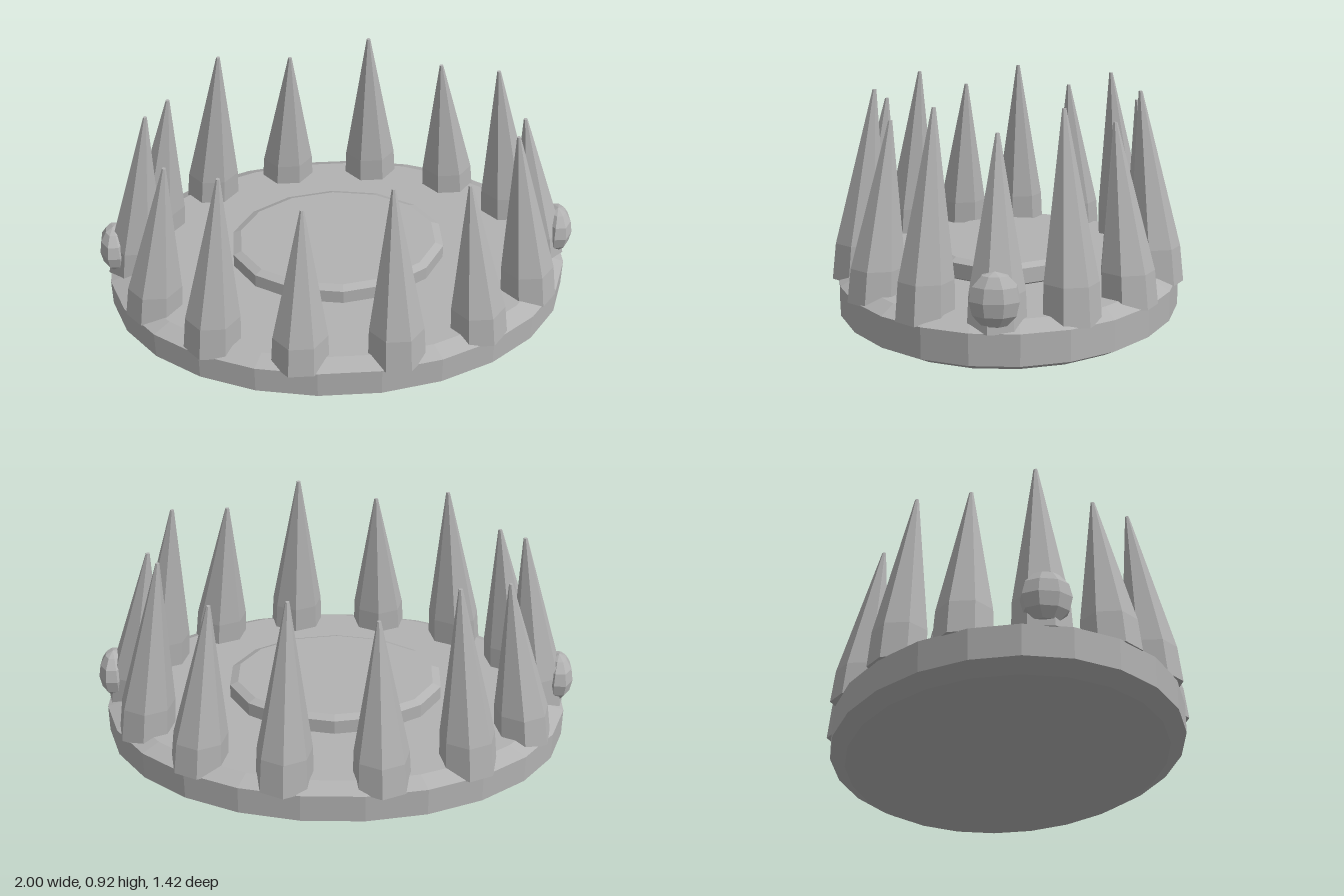
import * as THREE from 'three';

const stone = new THREE.MeshStandardMaterial({ color: 0xb2b2b2, flatShading: true });
stone.name = 'plain grey';

// Closed stack of polygon rings; each ring is { x, y, z, rx, rz }, listed bottom to top.
function ringStack(rings, sides, offset) {
  const pos = [];
  const idx = [];
  for (const r of rings) {
    for (let i = 0; i < sides; i++) {
      const a = offset + (i / sides) * Math.PI * 2;
      pos.push((r.x || 0) + r.rx * Math.cos(a), r.y, (r.z || 0) + r.rz * Math.sin(a));
    }
  }
  for (let k = 0; k < rings.length - 1; k++) {
    for (let i = 0; i < sides; i++) {
      const j = (i + 1) % sides;
      const a = k * sides + i, b = k * sides + j;
      idx.push(a, a + sides, b, b, a + sides, b + sides);
    }
  }
  // End caps
  const top = (rings.length - 1) * sides;
  for (let i = 1; i < sides - 1; i++) {
    idx.push(0, i, i + 1, top, top + i + 1, top + i);
  }
  const geo = new THREE.BufferGeometry();
  geo.setAttribute('position', new THREE.Float32BufferAttribute(pos, 3));
  geo.setIndex(idx);
  const flat = geo.toNonIndexed();
  flat.computeVertexNormals();
  return flat;
}

export function createModel() {
  const model = new THREE.Group();
  model.name = 'spikedCrown';
  const add = (name, geo) => {
    const mesh = new THREE.Mesh(geo, stone);
    mesh.name = name;
    model.add(mesh);
    return mesh;
  };

  // Oval base with bevelled rims
  add('base', ringStack([
    { y: 0, rx: 0.893, rz: 0.645 },
    { y: 0.035, rx: 0.973, rz: 0.706 },
    { y: 0.155, rx: 0.973, rz: 0.706 },
    { y: 0.187, rx: 0.893, rz: 0.645 },
  ], 24, Math.PI / 24));

  // Raised oval disc in the middle
  add('centreDisc', ringStack([
    { y: 0.18, rx: 0.42, rz: 0.31 },
    { y: 0.197, rx: 0.455, rz: 0.34 },
    { y: 0.257, rx: 0.455, rz: 0.34 },
    { y: 0.272, rx: 0.42, rz: 0.31 },
  ], 14, Math.PI / 14 * 0.5 * 2));

  // Ring of inward-leaning spikes, alternately short and tall
  const count = 14;
  for (let i = 0; i < count; i++) {
    const a = (i / count) * Math.PI * 2;
    const c = Math.cos(a), s = Math.sin(a);
    const tip = i % 2 ? 0.92 : 0.84;
    const foot = 0.152;
    const knee = foot + (tip - foot) * 0.19;
    add('spike', ringStack([
      { x: 0.86 * c, y: foot, z: 0.62 * s, rx: 0.118, rz: 0.113 },
      { x: 0.845 * c, y: knee, z: 0.61 * s, rx: 0.112, rz: 0.107 },
      { x: 0.76 * c, y: tip, z: 0.545 * s, rx: 0.008, rz: 0.008 },
    ], 7, -Math.PI / 2));
  }

  // Faceted bead on each end of the oval
  for (const side of [1, -1]) {
    const geo = new THREE.SphereGeometry(1, 8, 6);
    geo.rotateY(Math.PI / 8);
    geo.scale(0.065, 0.105, 0.098);
    add(side > 0 ? 'leftBead' : 'rightBead', geo).position.set(side * 0.94, 0.272, 0);
  }
  return model;
}
